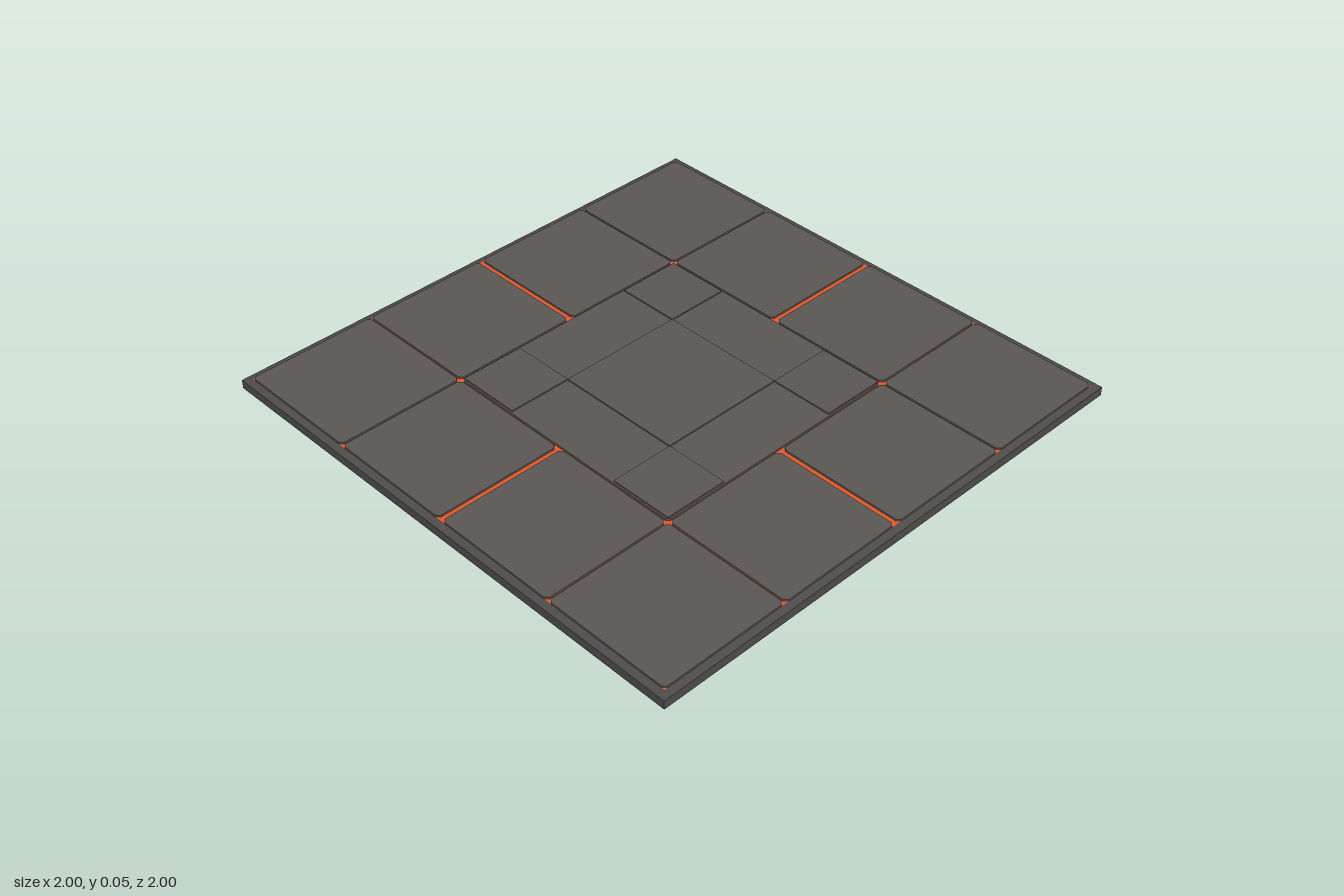
import * as THREE from 'three';

const tileMat = new THREE.MeshStandardMaterial({ color: 0x5a5654 });
tileMat.name = 'warm grey panel';
const baseMat = new THREE.MeshStandardMaterial({ color: 0x4c4b4a });
baseMat.name = 'dark grey base';
const glowMat = new THREE.MeshStandardMaterial({ color: 0xe0562a });
glowMat.name = 'orange seam';

// Flat plate between two x and two z limits, with clipped corners
function plate(name, mat, x0, x1, z0, z1, y0, y1, cut) {
  const s = new THREE.Shape([
    [x0 + cut, z0], [x1 - cut, z0], [x1, z0 + cut], [x1, z1 - cut],
    [x1 - cut, z1], [x0 + cut, z1], [x0, z1 - cut], [x0, z0 + cut],
  ].map(([x, z]) => new THREE.Vector2(x, -z)));
  const g = new THREE.ExtrudeGeometry(s, { depth: y1 - y0, bevelEnabled: false });
  g.rotateX(-Math.PI / 2);
  g.translate(0, y0, 0);
  const m = new THREE.Mesh(g, mat);
  m.name = name;
  return m;
}

export function createModel() {
  const model = new THREE.Group();
  model.name = 'floorTile';

  const SIDE = 0.033, FLOOR = 0.037, TOP = 0.044, RAISED = 0.049;

  // Slab with a sloping rim
  const slab = new THREE.Mesh(new THREE.BoxGeometry(2, SIDE, 2), baseMat);
  slab.position.y = SIDE / 2;
  slab.name = 'baseSlab';
  model.add(slab);
  const rimGeo = new THREE.CylinderGeometry(0.973 * Math.SQRT2, Math.SQRT2, FLOOR - SIDE, 4, 1, true)
    .rotateY(Math.PI / 4).toNonIndexed();
  rimGeo.computeVertexNormals();
  const rim = new THREE.Mesh(rimGeo, baseMat);
  rim.position.y = (SIDE + FLOOR) / 2;
  rim.name = 'slopedRim';
  model.add(rim);

  // Coloured sheet that shows in the seams
  const sheet = new THREE.Mesh(new THREE.PlaneGeometry(1.946, 1.946).rotateX(-Math.PI / 2), glowMat);
  sheet.position.y = FLOOR;
  sheet.name = 'seamSheet';
  model.add(sheet);

  // Panels: centre, four corners and a split pair along each edge
  const IN = 0.486, OUT = 0.493, EDGE = 0.973, HALF = 0.01, CUT = 0.012;
  model.add(plate('centrePanel', tileMat, -IN, IN, -IN, IN, FLOOR, TOP, CUT));
  for (let i = 0; i < 4; i++) {
    const side = new THREE.Group();
    side.name = 'panelSide' + (i + 1);
    side.rotation.y = i * Math.PI / 2;
    side.add(
      plate('cornerPanel', tileMat, OUT, EDGE, OUT, EDGE, FLOOR, TOP, CUT),
      plate('edgePanelLeft', tileMat, HALF, IN, OUT, EDGE, FLOOR, TOP, CUT),
      plate('edgePanelRight', tileMat, -IN, -HALF, OUT, EDGE, FLOOR, TOP, CUT),
      // Raised corner of the centre pattern
      plate('raisedCorner', tileMat, 0.24, 0.48, 0.24, 0.48, TOP, RAISED, 0),
    );
    model.add(side);
  }
  model.add(plate('raisedCentre', tileMat, -0.24, 0.24, -0.24, 0.24, TOP, RAISED, 0));
  return model;
}
